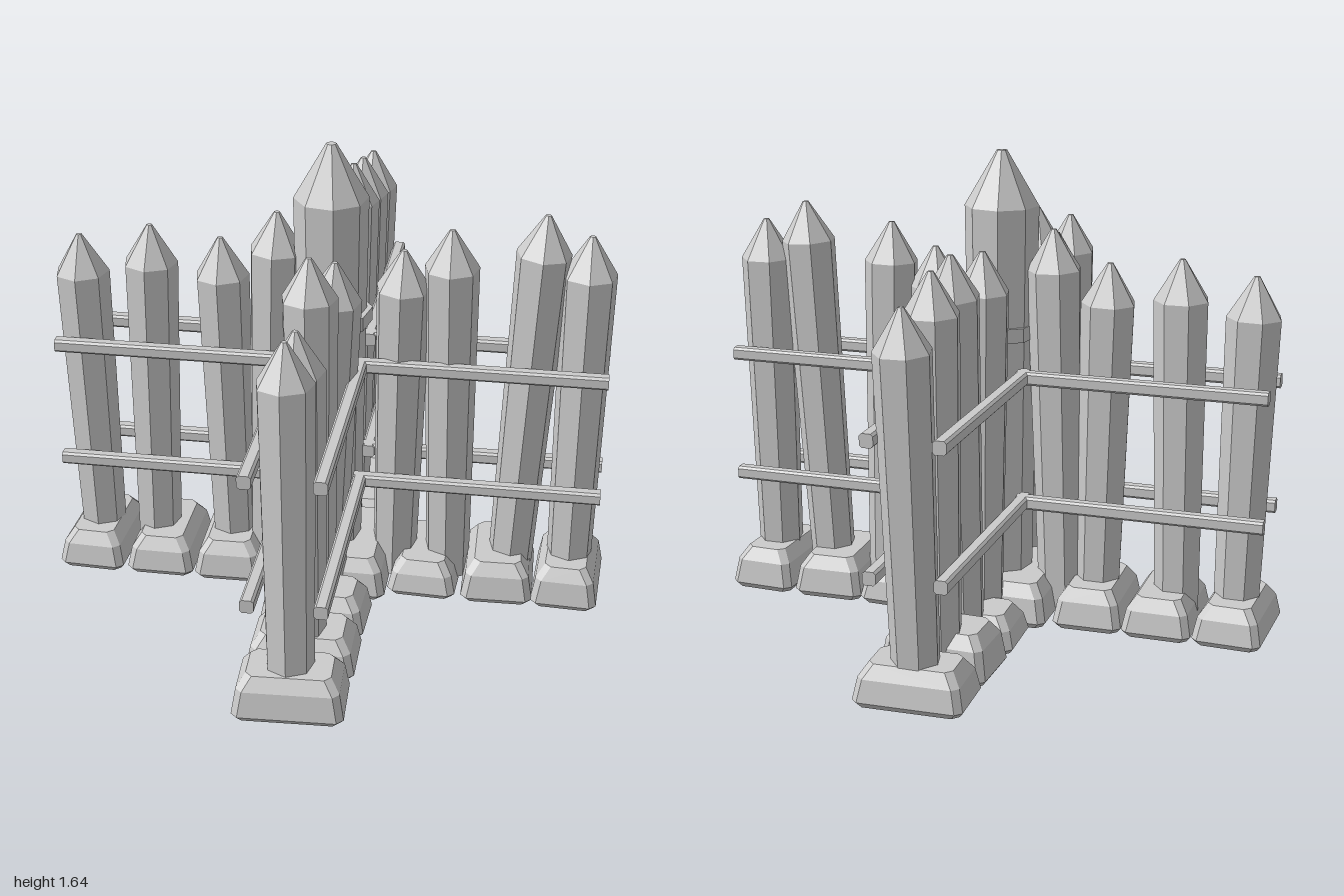
import * as THREE from 'three';
import { ConvexGeometry } from 'three/addons/geometries/ConvexGeometry.js';

const material = new THREE.MeshStandardMaterial({ color: 0xcccccc, flatShading: true });

function part(geometry, name, parent) {
  const mesh = new THREE.Mesh(geometry, material);
  mesh.name = name;
  parent.add(mesh);
  return mesh;
}

// Pointed log standing on the origin, slimmer towards its foot
function logGeometry(height, tipHeight, rFoot, rShoulder, rTip, sides) {
  const profile = [[0, 0], [rFoot, 0], [rShoulder, height - tipHeight], [rTip, height], [0, height]];
  return new THREE.LatheGeometry(profile.map(([r, y]) => new THREE.Vector2(r, y)), sides).toNonIndexed();
}

// Bevelled stone block with cut corners, from inset rings
function stoneGeometry(w, h, d) {
  const points = [];
  for (const [y, inset] of [[0, 0.014], [0.02, 0], [h - 0.045, 0.015], [h, 0.045]]) {
    const x = w / 2 - inset, z = d / 2 - inset, c = 0.022;
    for (const sx of [-1, 1]) for (const sz of [-1, 1]) {
      points.push(new THREE.Vector3(sx * (x - c), y, sz * z), new THREE.Vector3(sx * x, y, sz * (z - c)));
    }
  }
  return new ConvexGeometry(points);
}

// Square rail along x with chamfered edges
function railGeometry(length) {
  const a = 0.023, b = 0.015, points = [];
  for (const s of [-1, 1]) for (const [y, z] of [[a, b], [b, a]]) {
    for (const sy of [-1, 1]) for (const sz of [-1, 1]) {
      points.push(new THREE.Vector3(s * length / 2, sy * y, sz * z));
    }
  }
  return new ConvexGeometry(points);
}

// Stakes: [foot along arm, tip along arm, tip across arm, tip height]
const stakesX = [
  [-0.86, -0.89, 0.0, 1.265], [-0.65, -0.64, -0.015, 1.31], [-0.36, -0.39, -0.01, 1.28],
  [-0.225, -0.19, -0.015, 1.385], [0.235, 0.255, 0.03, 1.29], [0.43, 0.415, 0.02, 1.37],
  [0.655, 0.73, -0.01, 1.43], [0.87, 0.88, -0.02, 1.36],
];
const stakesZ = [
  [0.86, 0.79, -0.02, 1.285], [0.62, 0.625, -0.015, 1.245], [0.42, 0.37, -0.015, 1.385],
  [0.2, 0.24, 0.05, 1.32], [-0.235, -0.24, -0.01, 1.34], [-0.44, -0.53, 0.0, 1.385],
  [-0.67, -0.67, 0.015, 1.36], [-0.87, -0.915, 0.02, 1.30],
];

// Stones: [start, end along arm, height, yaw]
const stonesX = [
  [-0.985, -0.745, 0.14, -0.04], [-0.735, -0.49, 0.14, 0], [-0.485, -0.24, 0.145, 0.02],
  [0.235, 0.48, 0.13, -0.04], [0.49, 0.745, 0.15, 0.03], [0.75, 0.985, 0.15, -0.04],
];
const stonesZ = [
  [-0.99, -0.75, 0.14, 0.03], [-0.74, -0.49, 0.165, -0.03], [-0.48, -0.235, 0.125, 0.03],
  [0.245, 0.475, 0.145, -0.03], [0.48, 0.73, 0.14, 0.02], [0.74, 0.985, 0.155, 0.05],
];

export function createModel() {
  const model = new THREE.Group();
  const up = new THREE.Vector3(0, 1, 0);

  // Two crossing fence arms
  for (const [name, stakes, stones, alongX] of [['xArm', stakesX, stonesX, true], ['zArm', stakesZ, stonesZ, false]]) {
    const arm = new THREE.Group();
    arm.name = name;
    model.add(arm);
    const place = (along, y, across) =>
      alongX ? new THREE.Vector3(along, y, across) : new THREE.Vector3(across, y, along);

    stakes.forEach(([foot, tip, across, height], i) => {
      const base = place(foot, 0.03, 0);
      const axis = place(tip, height, across).sub(base);
      const geometry = logGeometry(axis.length(), 0.14, 0.08, 0.096, 0.01, 7);
      geometry.rotateY(i * 0.9);
      const stake = part(geometry, 'stake', arm);
      stake.position.copy(base);
      stake.quaternion.setFromUnitVectors(up, axis.normalize());
    });

    for (const [start, end, height, yaw] of stones) {
      const length = end - start, width = 0.37;
      const geometry = alongX ? stoneGeometry(length, height, width) : stoneGeometry(width, height, length);
      const stone = part(geometry, 'baseStone', arm);
      stone.position.copy(place((start + end) / 2, 0, alongX ? -0.007 : 0.002));
      stone.rotation.y = yaw;
    }

    // Rails on both faces of each half, meeting at the inner corners
    for (const half of [-1, 1]) for (const y of [0.435, 0.885]) {
      for (const across of alongX ? [-0.128, 0.106] : [-0.118, 0.12]) {
        const rail = part(railGeometry(0.87), 'rail', arm);
        rail.position.copy(place(half * 0.532, y, across));
        if (!alongX) rail.rotation.y = Math.PI / 2;
      }
    }
  }

  // Tall centre post with its collar and foot stone
  const post = part(logGeometry(1.625, 0.19, 0.108, 0.129, 0.018, 8), 'centrePost', model);
  post.position.y = 0.02;
  post.rotation.y = 0.2;
  const collar = part(new THREE.CylinderGeometry(0.135, 0.135, 0.05, 8), 'postCollar', model);
  collar.position.set(0.008, 1.02, -0.008);
  collar.rotation.y = 0.2;
  part(stoneGeometry(0.45, 0.15, 0.45), 'centreStone', model);

  return model;
}
